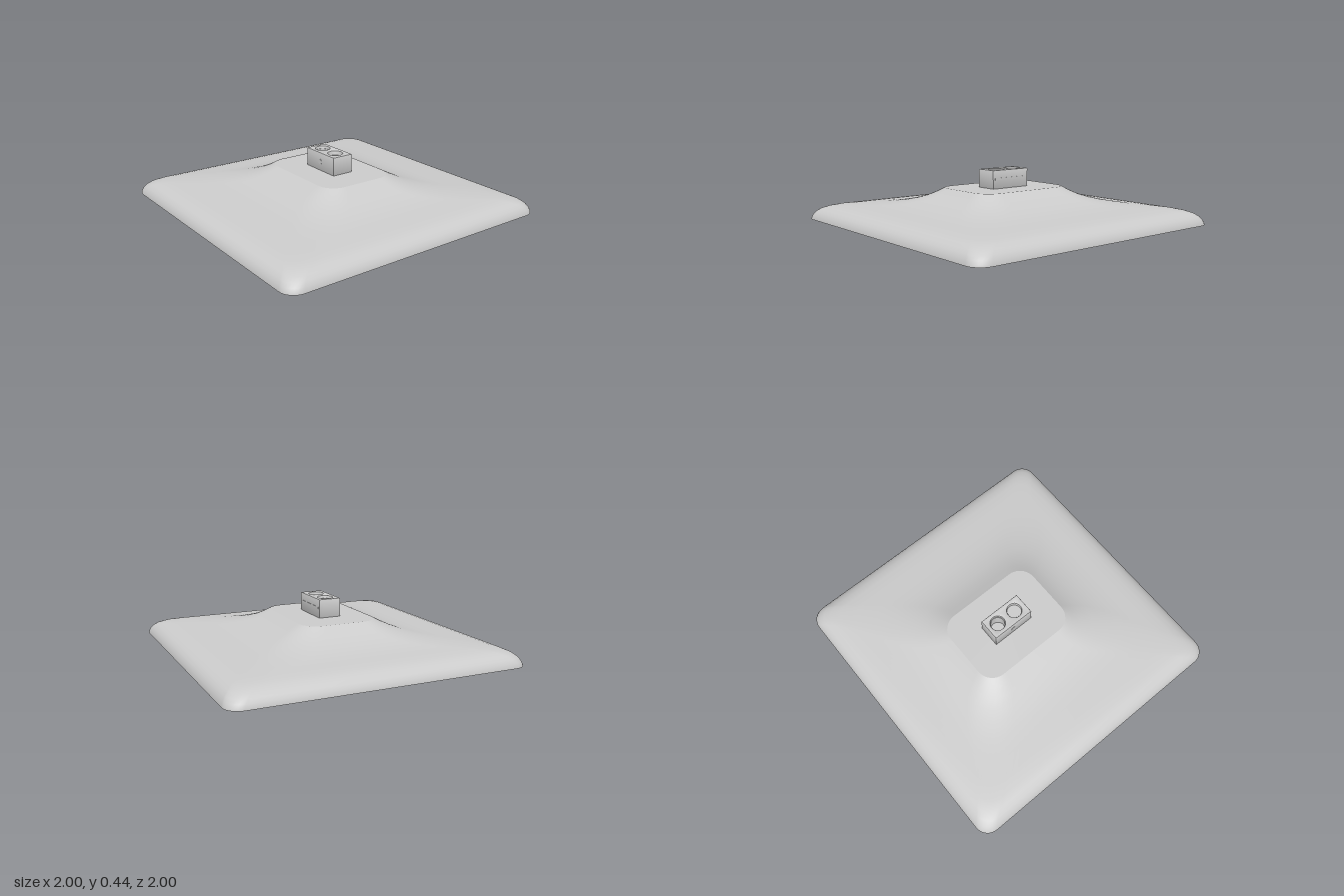
import * as THREE from 'three';
import { toCreasedNormals } from 'three/addons/utils/BufferGeometryUtils.js';

const material = new THREE.MeshStandardMaterial({ color: 0xcccccc, roughness: 0.6 });
const RIM_Y = 0.075;

function part(parent, name, geometry, x = 0, y = 0, z = 0) {
  const mesh = new THREE.Mesh(geometry, material);
  mesh.name = name;
  mesh.position.set(x, y, z);
  parent.add(mesh);
  return mesh;
}

// Rounded rectangle outline as [x, z] pairs, straight edges subdivided
function outline(hw, hd, r, arc = 8, edge = 24) {
  const corners = [[1, 1], [-1, 1], [-1, -1], [1, -1]].map(([sx, sz], k) =>
    Array.from({ length: arc + 1 }, (_, i) => {
      const a = (k + i / arc) * Math.PI / 2;
      return [sx * (hw - r) + r * Math.cos(a), sz * (hd - r) + r * Math.sin(a)];
    }));
  const points = [];
  corners.forEach((corner, k) => {
    points.push(...corner);
    const a = corner[arc], b = corners[(k + 1) % 4][0];
    for (let i = 1; i < edge; i++) {
      const t = i / edge;
      points.push([a[0] + (b[0] - a[0]) * t, a[1] + (b[1] - a[1]) * t]);
    }
  });
  return points;
}

// Skin over closed rings of [x, y, z] points
function loft(rings) {
  const n = rings[0].length, index = [];
  for (let i = 0; i < rings.length - 1; i++) {
    for (let j = 0; j < n; j++) {
      const a = i * n + j, a1 = i * n + (j + 1) % n;
      index.push(a, a + n, a1, a1, a + n, a1 + n);
    }
  }
  const geometry = new THREE.BufferGeometry();
  geometry.setAttribute('position', new THREE.Float32BufferAttribute(rings.flat(2), 3));
  geometry.setIndex(index);
  geometry.computeVertexNormals();
  return geometry;
}

// Height of the shallow domed spray face, with faint swirling ridges
function faceY(x, z) {
  const m = Math.min(1, (x ** 6 + z ** 6) ** (1 / 6));
  const swirl = Math.sin(16 * Math.atan2(z, x) + 7 * Math.hypot(x, z));
  return 0.015 + (RIM_Y - 0.015) * m * m + 0.014 * m * (1 - m) * swirl;
}

export function createModel() {
  const group = new THREE.Group();
  group.name = 'showerHead';

  // Upper shell: half width, half depth, corner radius, height
  const sections = [
    [1, 1, 0.1, RIM_Y], [0.998, 0.998, 0.1, 0.088], [0.99, 0.99, 0.1, 0.108],
    [0.975, 0.975, 0.1, 0.13], [0.95, 0.95, 0.1, 0.15], [0.915, 0.915, 0.11, 0.166],
    [0.87, 0.87, 0.12, 0.177], [0.8, 0.79, 0.14, 0.186], [0.72, 0.69, 0.17, 0.194],
    [0.65, 0.595, 0.19, 0.205], [0.585, 0.52, 0.2, 0.219], [0.52, 0.445, 0.2, 0.239],
    [0.46, 0.38, 0.18, 0.263], [0.405, 0.32, 0.15, 0.292], [0.365, 0.268, 0.12, 0.319],
  ];
  part(group, 'upperShell', loft(sections.map(([w, d, r, y]) =>
    outline(w, d, r).map(([x, z]) => [x, y, z]))));

  // Flat top platform
  const top = outline(0.365, 0.268, 0.12);
  part(group, 'topPlatform', loft([1, 0].map(s => top.map(([x, z]) => [x * s, 0.319, z * s]))));

  // Spray face, blending from a circle at the middle to the square rim
  const rim = outline(1, 1, 0.1);
  const faceRings = [];
  for (let i = 0; i <= 24; i++) {
    const s = 0.2 + 0.8 * i / 24, w = s * s;
    faceRings.push(rim.map(([rx, rz]) => {
      const k = s * (w + (1 - w) / Math.hypot(rx, rz));
      const x = rx * k, z = rz * k;
      return [x, i === 24 ? RIM_Y : faceY(x, z), z];
    }));
  }
  part(group, 'sprayFace', loft(faceRings));

  // Nozzles along swirling arms
  const nozzles = new THREE.Group();
  nozzles.name = 'nozzles';
  group.add(nozzles);
  const nozzleShape = new THREE.LatheGeometry(
    [[0, -0.016], [0.009, -0.015], [0.014, -0.009], [0.018, 0.008]].map(p => new THREE.Vector2(...p)), 12);
  [0.43, 0.58, 0.73, 0.87].forEach((r, ring) => {
    for (let i = 0; i < 16; i++) {
      const a = (i + 0.35 * ring) / 16 * Math.PI * 2;
      const x = r * Math.cos(a), z = r * Math.sin(a);
      part(nozzles, 'nozzle', nozzleShape, x, faceY(x, z), z);
    }
  });

  // Central spray disc with a recessed groove
  const discProfile = [
    [0, 0.008], [0.11, 0.008], [0.116, 0.003], [0.15, 0.003], [0.16, 0.016], [0.2, 0.018],
    [0.212, 0.008], [0.22, 0], [0.252, 0], [0.262, 0.006], [0.262, 0.035],
  ].map(p => new THREE.Vector2(...p));
  part(group, 'centreDisc', toCreasedNormals(new THREE.LatheGeometry(discProfile, 64), 0.5));

  // Fine mesh of bumps in the disc
  const bump = new THREE.SphereGeometry(0.006, 8, 6);
  for (let row = -6; row <= 6; row++) {
    for (let col = -6; col <= 6; col++) {
      const x = (col + (row % 2 ? 0.5 : 0)) * 0.017, z = row * 0.0148;
      if (Math.hypot(x, z) < 0.1) part(nozzles, 'meshBump', bump, x, 0.008, z);
    }
  }

  // Connector block with two sockets
  const connector = new THREE.Group();
  connector.name = 'connector';
  group.add(connector);
  const block = new THREE.Shape();
  const w = 0.146, d = 0.071;
  block.moveTo(-w, -d).lineTo(w, -d).lineTo(w, d).lineTo(-w, d).closePath();
  const sockets = [[-0.075, 0.056], [0.068, 0.056]];
  for (const [x, r] of sockets) {
    block.holes.push(new THREE.Path().absarc(x, 0, r, 0, Math.PI * 2, true));
  }
  const blockGeometry = new THREE.ExtrudeGeometry(block, {
    depth: 0.124, bevelThickness: 0.006, bevelSize: 0.006, bevelSegments: 2, curveSegments: 24,
  });
  blockGeometry.rotateX(-Math.PI / 2);
  part(connector, 'connectorBlock', toCreasedNormals(blockGeometry, 0.6), 0, 0.315, 0);

  // Socket floors and the stepped seat in the open inlet
  const floor = (x, y) => part(connector, 'socketFloor',
    new THREE.CylinderGeometry(0.06, 0.06, 0.01, 32), x, y, 0);
  floor(-0.075, 0.33);
  floor(0.068, 0.41);
  const seat = new THREE.LatheGeometry(
    [[0.047, 0.33], [0.06, 0.33], [0.06, 0.425], [0.047, 0.425], [0.047, 0.33]]
      .map(p => new THREE.Vector2(...p)), 32);
  part(connector, 'inletSeat', toCreasedNormals(seat, 0.5), -0.075, 0, 0);

  // Front set screw and thin strip across the back
  const screw = new THREE.CylinderGeometry(0.018, 0.018, 0.004, 24).rotateX(Math.PI / 2);
  part(connector, 'setScrew', screw, 0, 0.38, 0.077);
  part(connector, 'backStrip', new THREE.BoxGeometry(0.27, 0.014, 0.004), 0, 0.385, -0.077);

  return group;
}
